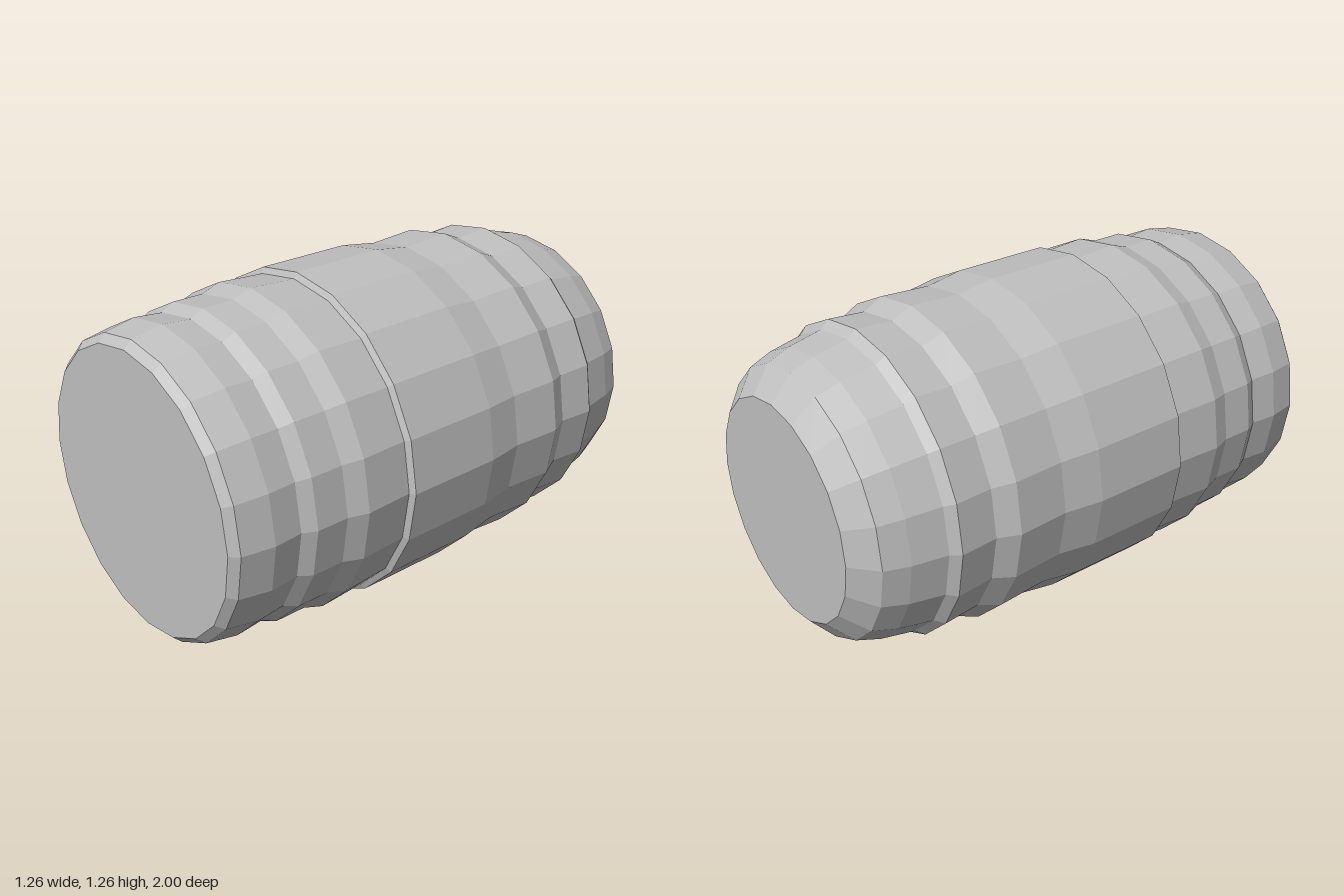
import * as THREE from 'three';

const SIDES = 20, AXIS_Y = 0.628;

// Profiles as [radius, z] from back to front; neighbouring sections share their end point.
const SECTIONS = {
  rearDome: [[0, -1], [0.415, -1], [0.508, -0.92], [0.54, -0.83], [0.565, -0.7], [0.593, -0.665]],
  rearBands: [[0.593, -0.665], [0.582, -0.52], [0.617, -0.44], [0.606, -0.24], [0.628, -0.09]],
  middleSleeve: [[0.628, -0.09], [0.628, 0.29], [0.606, 0.302]],
  frontBands: [[0.606, 0.302], [0.617, 0.49], [0.593, 0.565], [0.593, 0.69], [0.568, 0.74]],
  frontCap: [[0.568, 0.74], [0.578, 0.85], [0.557, 0.97], [0.528, 1], [0, 1]],
};

export function createModel() {
  const group = new THREE.Group();
  group.name = 'ribbedBarrel';
  const grey = new THREE.MeshStandardMaterial({ color: 0xbfbfbf });
  grey.name = 'grey';
  grey.flatShading = true;

  // Each section is turned around the lengthwise axis
  for (const [name, profile] of Object.entries(SECTIONS)) {
    const points = profile.map(([r, z]) => new THREE.Vector2(r, z));
    const geometry = new THREE.LatheGeometry(points, SIDES);
    geometry.rotateX(Math.PI / 2);
    const mesh = new THREE.Mesh(geometry, grey);
    mesh.name = name;
    mesh.position.y = AXIS_Y;
    group.add(mesh);
  }
  return group;
}
